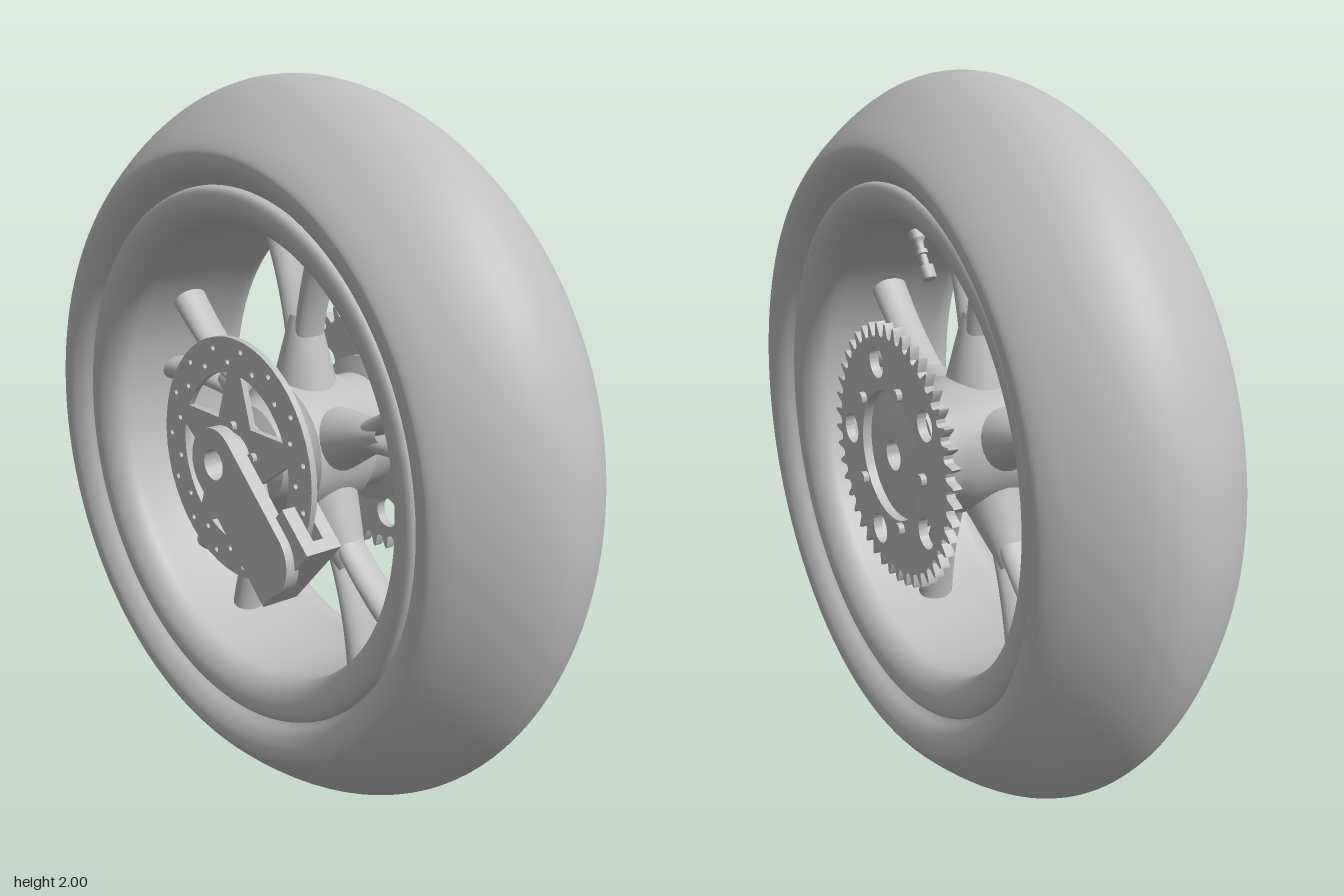
import * as THREE from 'three';
import { toCreasedNormals } from 'three/addons/utils/BufferGeometryUtils.js';

const TAU = Math.PI * 2;

export function createModel() {
  const grey = new THREE.MeshStandardMaterial({ color: 0xc0c0c0 });
  grey.name = 'plain grey';

  // Wheel space: the axle runs along z, then the whole wheel is turned onto x.
  const wheel = new THREE.Group();
  wheel.name = 'wheel';
  wheel.rotation.y = Math.PI / 2;
  wheel.position.y = 1;

  const add = (name, geometry, parent = wheel) => {
    const mesh = new THREE.Mesh(geometry, grey);
    mesh.name = name;
    parent.add(mesh);
    return mesh;
  };
  const vec = (list) => list.map(([r, z]) => new THREE.Vector2(r, z));
  const lathe = (points, segments, crease) => {
    const g = new THREE.LatheGeometry(points, segments).rotateX(Math.PI / 2);
    return crease ? toCreasedNormals(g, crease) : g;
  };
  const plate = (shape, z0, z1, segments = 12) => toCreasedNormals(
    new THREE.ExtrudeGeometry(shape, { depth: z1 - z0, bevelEnabled: false, curveSegments: segments })
      .translate(0, 0, z0), 0.5);
  const hole = (r, angle, radius) =>
    new THREE.Path().absarc(r * Math.cos(angle), r * Math.sin(angle), radius, 0, TAU, true);
  const disc = (radius) => new THREE.Shape().absarc(0, 0, radius, 0, TAU, false);

  // Tyre: round crown, soft shoulders, sidewalls tucking in to the rim
  const half = [[0.72, 0.225], [0.735, 0.24], [0.755, 0.268], [0.785, 0.289], [0.81, 0.294],
    [0.83, 0.288], [0.868, 0.255], [0.915, 0.2], [0.953, 0.145], [0.981, 0.09], [0.996, 0.04]];
  const tyreCurve = new THREE.SplineCurve(vec([
    ...half.map(([r, z]) => [r, -z]), [1, 0], ...half.slice().reverse()]));
  add('tyre', lathe(tyreCurve.getPoints(70).map((p) => p.set(p.x, p.y + 0.004)), 128));

  // Rim: rolled lips with a barrel between them
  const lip = [[0.732, 0.232], [0.724, 0.25], [0.7, 0.258], [0.67, 0.25], [0.642, 0.228],
    [0.627, 0.2], [0.626, 0.17], [0.634, 0.1]];
  const rimCurve = new THREE.SplineCurve(vec([
    ...lip, [0.637, 0], ...lip.slice().reverse().map(([r, z]) => [r, -z])]));
  add('rim', lathe(rimCurve.getPoints(60), 128));

  // Hub with a hollow axle, a recessed dome on one side and a spacer on the other
  add('hub', lathe(vec([[0.043, -0.27], [0.075, -0.27], [0.075, -0.236], [0.11, -0.236], [0.11, -0.2],
    [0.14, -0.18], [0.16, -0.12], [0.19, -0.09], [0.19, 0.09], [0.165, 0.13], [0.165, 0.19],
    [0.21, 0.215], [0.21, 0.235], [0.178, 0.235], [0.14, 0.247], [0.09, 0.256],
    [0.043, 0.26], [0.043, -0.27]]), 64, 0.6));

  // Bend a unit cylinder along y: at(t) gives x, y, half width and half depth
  const limb = (at) => {
    const g = new THREE.CylinderGeometry(1, 1, 1, 24, 14, true);
    const p = g.attributes.position;
    for (let i = 0; i < p.count; i++) {
      const [x, y, w, d] = at(p.getY(i) + 0.5);
      p.setXYZ(i, x + p.getX(i) * w, y, p.getZ(i) * d);
    }
    g.computeVertexNormals();
    return g;
  };
  const lerp = THREE.MathUtils.lerp;
  const arm = limb((t) => [0, lerp(0.14, 0.37, t), lerp(0.095, 0.03, t), lerp(0.1, 0.045, t)]);
  const spoke = (side) => limb((t) => [
    side * (0.018 + 0.05 * t + 0.07 * t * t), lerp(0.3, 0.66, t),
    0.026 + 0.018 * t * t, lerp(0.046, 0.055, t)]);
  const leftSpoke = spoke(-1);
  const rightSpoke = spoke(1);

  // Five forked spokes
  for (let k = 0; k < 5; k++) {
    const fork = new THREE.Group();
    fork.name = 'forkedSpoke';
    fork.rotation.z = k * TAU / 5;
    add('spokeRoot', arm, fork);
    add('spokeBranch', leftSpoke, fork);
    add('spokeBranch', rightSpoke, fork);
    wheel.add(fork);
  }

  // Chain sprocket: toothed outline, five round holes, open centre
  const teeth = 44;
  const outline = [];
  for (let i = 0; i < teeth; i++) {
    for (const [f, r] of [[-0.22, 0.328], [0, 0.323], [0.22, 0.328], [0.4, 0.358], [0.5, 0.364], [0.6, 0.358]]) {
      const a = (i + f) * TAU / teeth;
      outline.push(new THREE.Vector2(r * Math.cos(a), r * Math.sin(a)));
    }
  }
  const sprocket = new THREE.Shape(outline);
  sprocket.holes.push(hole(0, 0, 0.18));
  for (let k = 0; k < 5; k++) sprocket.holes.push(hole(0.255, Math.PI + k * TAU / 5, 0.043));
  add('sprocket', plate(sprocket, 0.242, 0.268, 24));

  // Bolts on the sprocket and on the brake disc
  const bolt = (name, r, angle, z, radius) => {
    const g = toCreasedNormals(new THREE.CylinderGeometry(radius, radius, 0.024, 16).rotateX(Math.PI / 2), 0.6);
    add(name, g).position.set(r * Math.cos(angle), r * Math.sin(angle), z);
  };
  for (let k = 0; k < 5; k++) {
    bolt('sprocketBolt', 0.2, k * TAU / 5, 0.272, 0.017);
    bolt('discBolt', 0.095, Math.PI / 2 + k * TAU / 5, -0.24, 0.013);
  }

  // Brake disc: drilled ring on a five-pointed carrier
  const brake = disc(0.335);
  brake.holes.push(hole(0, 0, 0.06));
  for (let k = 0; k < 5; k++) {
    const a = (54 + 72 * k) * Math.PI / 180;
    const window = new THREE.Path();
    window.absarc(0, 0, 0.238, a - 0.5, a + 0.5, false);
    window.lineTo(0.125 * Math.cos(a), 0.125 * Math.sin(a));
    window.closePath();
    brake.holes.push(window);
  }
  for (let i = 0; i < 30; i++) brake.holes.push(hole(i % 2 ? 0.268 : 0.306, i * TAU / 30, 0.008));
  add('brakeDisc', plate(brake, -0.238, -0.22, 24));

  // Caliper carrier: a round-ended arm from the axle, with the caliper behind it
  const caliper = new THREE.Group();
  caliper.name = 'brakeCaliper';
  caliper.rotation.z = Math.atan2(-0.2, -0.22);
  wheel.add(caliper);
  const reach = 0.297;
  const bracket = new THREE.Shape();
  bracket.absarc(0, 0, 0.1, Math.PI / 2, Math.PI * 1.5, false);
  bracket.absarc(reach, 0, 0.1, -Math.PI / 2, Math.PI / 2, false);
  bracket.closePath();
  bracket.holes.push(hole(0, 0, 0.043));
  add('caliperArm', plate(bracket, -0.308, -0.268, 24), caliper);
  const block = (name, w, h, d, x, y, z) =>
    add(name, new THREE.BoxGeometry(w, h, d), caliper).position.set(x, y, z);
  block('caliperOuterBody', 0.13, 0.28, 0.04, 0.3, 0, -0.262);
  block('caliperInnerBody', 0.13, 0.28, 0.04, 0.3, 0, -0.19);
  block('caliperBridge', 0.035, 0.28, 0.112, 0.358, 0, -0.226);

  // Tyre valve: thin stem with a wider cap, pointing at the axle
  const valve = lathe(vec([[0, 0.485], [0.02, 0.485], [0.022, 0.492], [0.022, 0.525], [0.012, 0.53],
    [0.012, 0.56], [0.018, 0.562], [0.018, 0.575], [0.012, 0.578], [0.014, 0.6],
    [0.022, 0.61], [0.022, 0.65]]), 16, 0.6).rotateX(-Math.PI / 2);
  add('valve', valve).rotation.z = 36 * Math.PI / 180;

  const model = new THREE.Group();
  model.name = 'motorcycleWheel';
  model.add(wheel);
  return model;
}
